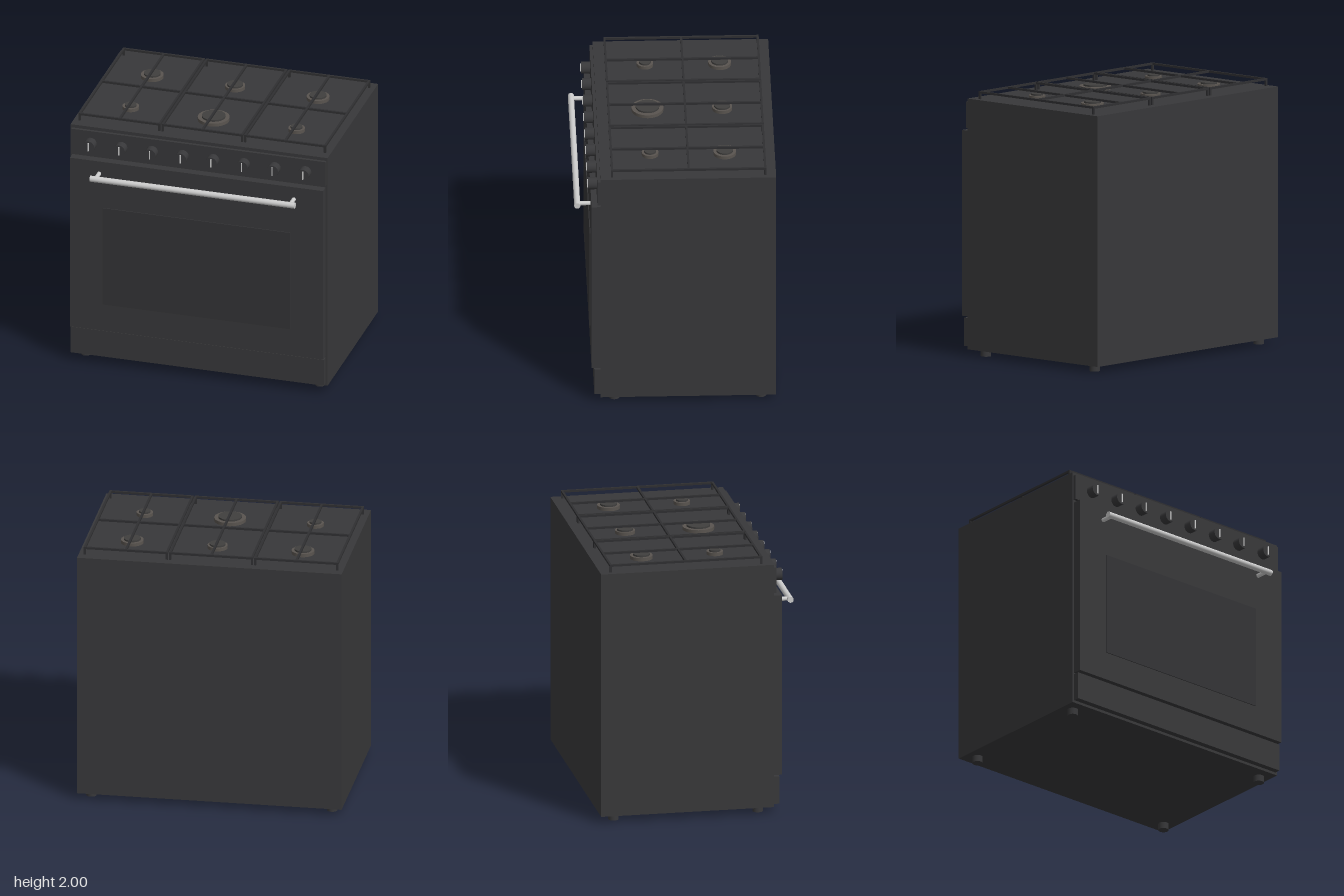
import * as THREE from 'three';

const mat = (color) => new THREE.MeshStandardMaterial({ color });

export function createModel() {
  const model = new THREE.Group();
  const enamel = mat(0x38383a), glass = mat(0x343436), iron = mat(0x2f2f31);
  const steel = mat(0xcccccc), brass = mat(0x59544f), cap = mat(0x403f3e);

  const add = (name, geometry, material, x, y, z, parent = model) => {
    const mesh = new THREE.Mesh(geometry, material);
    mesh.name = name;
    mesh.position.set(x, y, z);
    parent.add(mesh);
    return mesh;
  };
  // Box given by its limits on each axis
  const box = (name, material, [x0, x1], [y0, y1], [z0, z1], parent) =>
    add(name, new THREE.BoxGeometry(x1 - x0, y1 - y0, z1 - z0), material,
      (x0 + x1) / 2, (y0 + y1) / 2, (z0 + z1) / 2, parent);
  const cylinder = (r, h, axis = 'y', sides = 32) => {
    const g = new THREE.CylinderGeometry(r, r, h, sides);
    if (axis === 'x') g.rotateZ(Math.PI / 2);
    if (axis === 'z') g.rotateX(Math.PI / 2);
    return g;
  };

  // Cabinet and front panels
  box('body', enamel, [-1, 1], [0.05, 1.94], [-0.75, 0.56]);
  box('controlPanel', enamel, [-0.99, 0.99], [1.715, 1.915], [0.55, 0.583]);
  box('ovenDoor', enamel, [-0.985, 0.985], [0.295, 1.695], [0.55, 0.626]);
  box('ovenWindow', glass, [-0.73, 0.73], [0.515, 1.315], [0.62, 0.633]);
  box('bottomDrawer', enamel, [-0.985, 0.985], [0.07, 0.283], [0.55, 0.606]);

  // Feet
  for (const x of [-0.91, 0.91])
    for (const z of [-0.64, 0.455])
      add('foot', cylinder(0.039, 0.06), enamel, x, 0.03, z);

  // Door handle on two posts
  const handle = new THREE.Group();
  handle.name = 'doorHandle';
  model.add(handle);
  add('handleBar', cylinder(0.023, 1.594, 'x'), steel, 0, 1.595, 0.727, handle);
  for (const x of [-0.757, 0.757])
    add('handlePost', cylinder(0.016, 0.107, 'z'), steel, x, 1.595, 0.6735, handle);

  // Row of eight control knobs
  for (let i = 0; i < 8; i++) {
    const knob = new THREE.Group();
    knob.name = 'knob';
    knob.position.set((i - 3.5) * 0.2385, 1.815, 0);
    model.add(knob);
    add('knobBody', cylinder(0.046, 0.07, 'z'), enamel, 0, 0, 0.615, knob);
    box('knobPointer', steel, [-0.004, 0.004], [-0.033, 0.035], [0.645, 0.657], knob);
  }

  // Burners: x, z, ring radius, cap radius
  const burners = [
    [-0.645, -0.377, 0.085, 0.063], [0, -0.377, 0.075, 0.06], [0.645, -0.377, 0.085, 0.063],
    [-0.645, 0.18, 0.062, 0.044], [0, 0.18, 0.119, 0.088], [0.645, 0.18, 0.062, 0.044],
  ];
  for (const [x, z, ring, top] of burners) {
    const burner = new THREE.Group();
    burner.name = 'burner';
    burner.position.set(x, 0, z);
    model.add(burner);
    add('burnerRing', cylinder(ring, 0.03, 'y', 40), brass, 0, 1.95, 0, burner);
    add('burnerCap', cylinder(top, 0.02, 'y', 40), cap, 0, 1.968, 0, burner);
  }

  // Three pan supports, each a frame with a cross and corner legs
  const w = 0.016, zBack = -0.678, zFront = 0.48, y = [1.984, 2];
  for (const [x0, x1] of [[-0.962, -0.326], [-0.317, 0.317], [0.326, 0.962]]) {
    const grate = new THREE.Group();
    grate.name = 'panSupport';
    model.add(grate);
    for (const x of [x0, (x0 + x1 - w) / 2, x1 - w])
      box('grateBarLong', iron, [x, x + w], y, [zBack, zFront], grate);
    for (const z of [zBack, (zBack + zFront - w) / 2, zFront - w])
      box('grateBarCross', iron, [x0, x1], y, [z, z + w], grate);
    for (const x of [x0, x1 - w])
      for (const z of [zBack, zFront - w])
        box('grateLeg', iron, [x, x + w], [1.935, 1.99], [z, z + w], grate);
  }

  return model;
}
